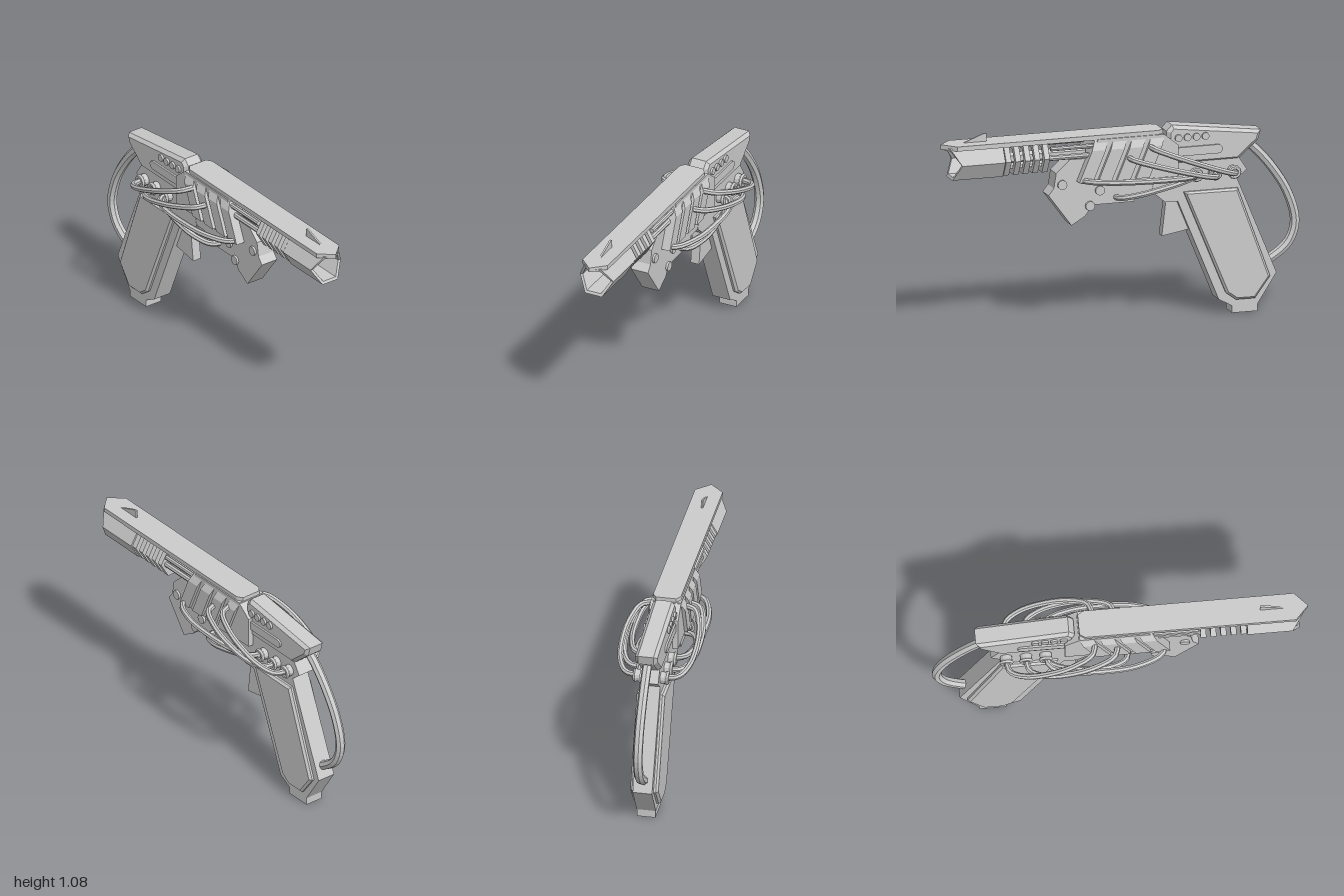
import * as THREE from 'three';

const mat = new THREE.MeshStandardMaterial({ color: 0xcccccc, flatShading: true, side: THREE.DoubleSide });

export function createModel() {
  const root = new THREE.Group();
  const V = (x, y, z) => new THREE.Vector3(x, y, z);

  function add(name, geo, x = 0, y = 0, z = 0) {
    const m = new THREE.Mesh(geo, mat);
    m.name = name;
    m.position.set(x, y, z);
    root.add(m);
    return m;
  }
  const shapeOf = pts => new THREE.Shape(pts.map(p => new THREE.Vector2(p[0], p[1])));

  // Side profile given as [z, y], extruded symmetrically to x = +-half
  function slab(name, pts, half, bevel = 0) {
    const geo = new THREE.ExtrudeGeometry(shapeOf(pts), {
      depth: 2 * (half - bevel), bevelEnabled: bevel > 0, bevelSize: bevel,
      bevelThickness: bevel, bevelOffset: -bevel, bevelSegments: 1,
    });
    geo.translate(0, 0, -(half - bevel)).rotateY(-Math.PI / 2);
    return add(name, geo);
  }
  // Cylinder lying across the gun
  function pin(name, z, y, r, half, sides = 12) {
    add(name, new THREE.CylinderGeometry(r, r, 2 * half, sides).rotateZ(Math.PI / 2), 0, y, z);
  }
  function cable(name, pts, r, n = 24) {
    add(name, new THREE.TubeGeometry(new THREE.CatmullRomCurve3(pts), n, r, 7));
  }
  // Six-sided ring with corners at the sides, plus a middle point on the top edge
  const CY = 0.935;
  function hexPoints(r) {
    const h = r * 0.866;
    return [[r, CY], [r / 2, CY + h], [0, CY + h], [-r / 2, CY + h], [-r, CY], [-r / 2, CY - h], [r / 2, CY - h]];
  }
  function hexTube(outer, inner, depth) {
    const s = shapeOf(hexPoints(outer));
    s.holes.push(shapeOf(hexPoints(inner)));
    return new THREE.ExtrudeGeometry(s, { depth, bevelEnabled: false });
  }

  // Muzzle shroud with a pointed, notched front edge
  const muzzle = hexTube(0.1, 0.083, 1);
  const p = muzzle.attributes.position;
  for (let i = 0; i < p.count; i++) {
    const x = Math.abs(p.getX(i)), y = p.getY(i);
    const tip = y > CY + 0.01 ? 0.91 + 0.6 * (y - CY) + 0.6 * (0.05 - x) : 0.91 + 0.47 * (CY - y);
    p.setZ(i, p.getZ(i) > 0.5 ? tip : 0.67);
  }
  muzzle.computeVertexNormals();
  add('muzzle', muzzle);

  // Cooling rings and inner barrel
  for (let i = 0; i < 5; i++) add('coolingRing', hexTube(0.095, 0.062, 0.03), 0, 0, 0.635 - i * 0.0535);
  const core = new THREE.CylinderGeometry(0.03, 0.03, 0.47, 6).rotateX(Math.PI / 2);
  add('innerBarrel', core, 0, CY, 0.435);
  for (const s of [-1, 1]) {
    const rod = (r, len) => new THREE.CylinderGeometry(r, r, len, 8).rotateX(Math.PI / 2);
    add('upperRod', rod(0.013, 0.3), s * 0.068, 0.982, 0.26);
    add('lowerRod', rod(0.015, 0.3), s * 0.06, 0.93, 0.28);
  }

  // Top rail with pointed nose
  const rail = new THREE.ExtrudeGeometry(
    shapeOf([[-0.055, -0.22], [0.055, -0.22], [0.075, -0.19], [0.075, 0.93], [0, 1], [-0.075, 0.93], [-0.075, -0.19]]),
    { depth: 0.025, bevelEnabled: false });
  add('topRail', rail.rotateX(Math.PI / 2).scale(1, 1, 1), 0, 1.037, 0);
  slab('frontSight', [[0.88, 1.035], [0.76, 1.08], [0.745, 1.08], [0.745, 1.035]], 0.005);

  // Receiver core and slanted side slats
  slab('receiver', [[0.24, 0.78], [0.15, 1.015], [-0.22, 1.015], [-0.3, 0.95], [-0.3, 0.78]], 0.082);
  const section = [[0.1, 0.79], [0.1, 0.96], [0.075, 1.012], [-0.075, 1.012], [-0.1, 0.96], [-0.1, 0.79]];
  for (let i = 0; i < 4; i++) {
    const slat = new THREE.ExtrudeGeometry(shapeOf(section), { depth: 0.076, bevelEnabled: false });
    const q = slat.attributes.position;
    for (let k = 0; k < q.count; k++) q.setZ(k, q.getZ(k) - 0.42 * (q.getY(k) - 0.79));
    slat.computeVertexNormals();
    add('sideSlat', slat, 0, 0, 0.183 - i * 0.105);
  }

  // Lower frame and front block
  slab('frontFrame', [[0.415, 0.723], [0.385, 0.76], [0.372, 0.84], [0.297, 0.91], [0.22, 0.91], [-0.3, 0.91],
    [-0.3, 0.70], [-0.088, 0.70], [-0.06, 0.653], [0.17, 0.653], [0.21, 0.595], [0.287, 0.55]], 0.05);
  pin('framePin', 0.34, 0.777, 0.026, 0.062);
  pin('framePin', 0.185, 0.65, 0.026, 0.062);
  pin('framePin', 0.13, 0.73, 0.026, 0.062);

  // Rear housing with lamps and side bar
  slab('rearHousing', [[-0.245, 1.02], [-0.275, 1.052], [-0.77, 0.988], [-0.755, 0.935], [-0.64, 0.835],
    [-0.25, 0.835]], 0.06, 0.018);
  for (let i = 0; i < 4; i++) pin('lamp', -0.305 - i * 0.05, 0.983, 0.02, 0.072);
  const bar = new THREE.Shape();
  bar.absarc(-0.525, 0.908, 0.024, Math.PI / 2, Math.PI * 1.5);
  bar.absarc(-0.295, 0.908, 0.024, -Math.PI / 2, Math.PI / 2);
  slab('sideBar', bar.getPoints(6).slice(0, -1).map(v => [v.x, v.y]), 0.07);

  // Grip, raised panels, base plug and trigger
  slab('grip', [[-0.158, 0.70], [-0.235, 0.635], [-0.305, 0.635], [-0.533, 0.08], [-0.607, 0.04], [-0.75, 0.04],
    [-0.855, 0.203], [-0.635, 0.735], [-0.69, 0.78], [-0.645, 0.85], [-0.2, 0.85]], 0.052);
  slab('gripPanel', [[-0.335, 0.685], [-0.635, 0.685], [-0.815, 0.19], [-0.73, 0.075], [-0.625, 0.075],
    [-0.57, 0.115]], 0.076, 0.012);
  add('basePlug', new THREE.BoxGeometry(0.1, 0.05, 0.143), 0, 0.025, -0.679);
  slab('trigger', [[-0.25, 0.66], [-0.225, 0.445], [-0.378, 0.471], [-0.32, 0.66]], 0.025);

  // Cable sockets and side cables, mirrored
  const runs = [ // front z, y, x; rear z, y; bulge
    [0.24, 0.8, 0.05, -0.4, 0.785, 0.185],
    [-0.02, 0.905, 0.09, -0.505, 0.77, 0.2],
    [-0.14, 0.955, 0.09, -0.61, 0.78, 0.2],
    [0.04, 0.685, 0.04, -0.4, 0.78, 0.145],
  ];
  for (const s of [-1, 1]) {
    for (const [z0, y0, x0, z1, y1, b] of runs) {
      const at = (t, x) => V(s * x, y0 + (y1 - y0) * t, z0 + (z1 - z0) * t);
      cable('sideCable', [at(0, x0), at(0.04, x0 + (b - x0) * 0.5), at(0.25, b * 0.93), at(0.5, b),
        at(0.8, b * 0.93), at(0.97, b * 0.7), at(1, 0.05)], 0.016);
    }
    for (const z of [-0.4, -0.505, -0.61]) {
      add('socketRing', new THREE.TorusGeometry(0.026, 0.012, 6, 12).rotateY(Math.PI / 2), s * 0.085, 0.778, z);
    }
  }
  for (const z of [-0.4, -0.505, -0.61]) pin('socket', z, 0.778, 0.032, 0.083);

  // Rear cable from the housing to the grip heel
  cable('rearCable', [V(0, 0.93, -0.69), V(0, 0.88, -0.75), V(0, 0.77, -0.845), V(0, 0.62, -0.935),
    V(0, 0.46, -0.974), V(0, 0.35, -0.935), V(0, 0.28, -0.85), V(0, 0.25, -0.79)], 0.026, 28);

  return root;
}
